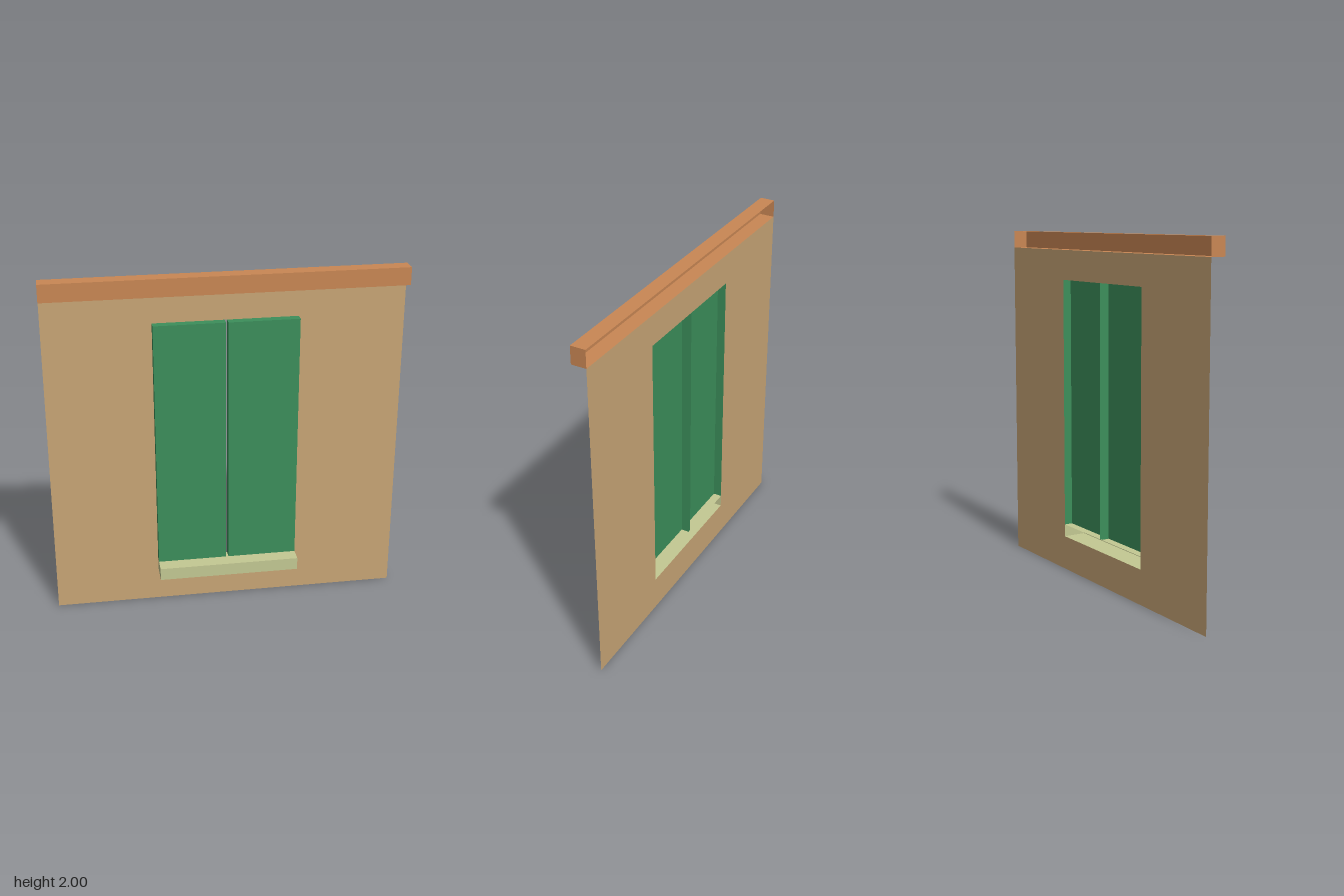
import * as THREE from 'three';

const BACK = -0.067; // plane of the wall; every other part opens onto it

function material(name, color) {
  const m = new THREE.MeshStandardMaterial({ color, side: THREE.DoubleSide });
  m.name = name;
  return m;
}

// Box shell without its back face; face order: +x, -x, +y, -y, +z
function openBox(name, mat, x0, x1, y0, y1, front, faces = [0, 1, 2, 3, 4]) {
  const geo = new THREE.BoxGeometry(x1 - x0, y1 - y0, front - BACK);
  const index = Array.from(geo.index.array);
  geo.setIndex(faces.flatMap((f) => index.slice(f * 6, f * 6 + 6)));
  geo.clearGroups();
  geo.translate((x0 + x1) / 2, (y0 + y1) / 2, (front + BACK) / 2);
  const mesh = new THREE.Mesh(geo, mat);
  mesh.name = name;
  return mesh;
}

function rectangle(target, x, y0, y1) {
  target.moveTo(-x, y0);
  target.lineTo(x, y0);
  target.lineTo(x, y1);
  target.lineTo(-x, y1);
  target.closePath();
  return target;
}

export function createModel() {
  const group = new THREE.Group();
  group.name = 'shutteredWindowWall';

  const plaster = material('tan plaster', 0xc8a676);
  const terracotta = material('terracotta', 0xc98754);
  const green = material('shutter green', 0x3c8f5b);
  const stone = material('pale stone', 0xc4c993);

  // Thin wall with the window opening
  const outline = rectangle(new THREE.Shape(), 1, 0, 1.9);
  outline.holes.push(rectangle(new THREE.Path(), 0.404, 0.2, 1.728));
  const wall = new THREE.Mesh(new THREE.ShapeGeometry(outline), plaster);
  wall.position.z = BACK;
  wall.name = 'wall';
  group.add(wall);

  // Cornice along the top and sill under the window
  group.add(openBox('cornice', terracotta, -1, 1, 1.9, 2, 0.018));
  group.add(openBox('sill', stone, -0.404, 0.404, 0.2, 0.273, 0.067));

  // Pair of shutters with a narrow gap, standing on the sill
  const sides = [0, 1, 2, 4];
  group.add(openBox('leftShutter', green, 0.007, 0.404, 0.273, 1.728, -0.018, sides));
  group.add(openBox('rightShutter', green, -0.404, -0.007, 0.273, 1.728, -0.018, sides));

  return group;
}
